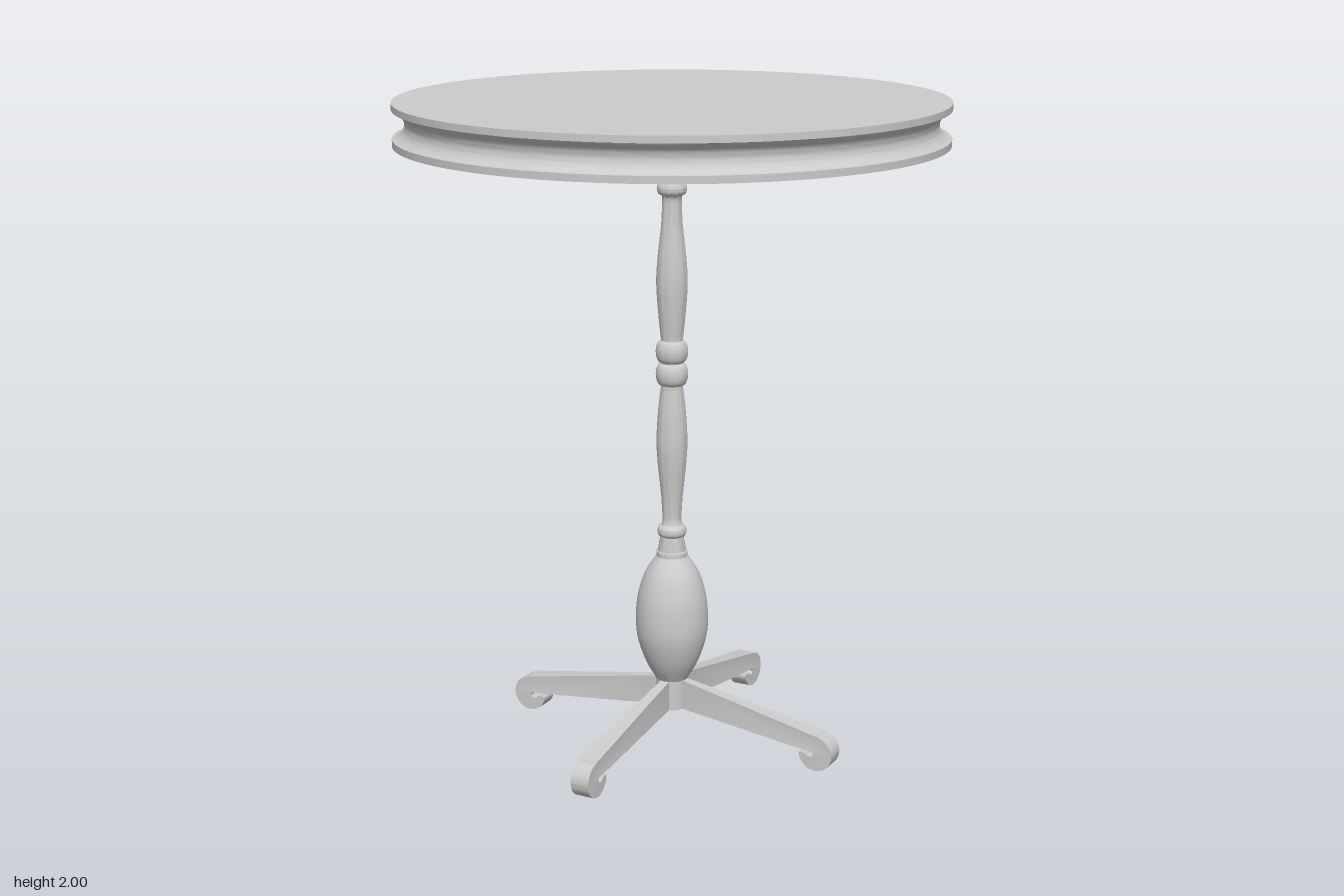
import * as THREE from 'three';
import { toCreasedNormals } from 'three/addons/utils/BufferGeometryUtils.js';

const material = new THREE.MeshStandardMaterial({ color: 0xcccccc });

function turned(name, profile, segments) {
  const points = profile.map(([r, y]) => new THREE.Vector2(r, y));
  const geometry = toCreasedNormals(new THREE.LatheGeometry(points, segments), 0.6);
  const mesh = new THREE.Mesh(geometry, material);
  mesh.name = name;
  return mesh;
}

// Smooth run of profile points through a few control points
function smooth(controls, count) {
  const curve = new THREE.SplineCurve(controls.map(([r, y]) => new THREE.Vector2(r, y)));
  return curve.getPoints(count).map((p) => [p.x, p.y]);
}

// Rounded bead profile between two heights
function bead(inner, outer, y0, y1) {
  return Array.from({ length: 11 }, (_, i) => {
    const t = i / 10;
    return [inner + (outer - inner) * Math.sin(Math.PI * t), y0 + (y1 - y0) * (0.5 - 0.5 * Math.cos(Math.PI * t))];
  });
}

// Leg side profile with a scrolled foot, tapering in width toward the hub
function legGeometry() {
  const shape = new THREE.Shape();
  shape.moveTo(0.01, 0.205);
  shape.lineTo(0.04, 0.2);
  shape.lineTo(0.515, 0.111);
  shape.absarc(0.509, 0.055, 0.055, 1.46, -Math.PI + 0.2, true);
  shape.quadraticCurveTo(0.454, 0.053, 0.463, 0.052);
  shape.lineTo(0.478, 0.051);
  shape.quadraticCurveTo(0.481, 0.042, 0.492, 0.042);
  shape.quadraticCurveTo(0.506, 0.044, 0.505, 0.052);
  shape.quadraticCurveTo(0.503, 0.059, 0.492, 0.06);
  shape.lineTo(0.47, 0.061);
  shape.lineTo(0.04, 0.105);
  shape.lineTo(0.01, 0.108);
  const geometry = new THREE.ExtrudeGeometry(shape, { depth: 2, bevelEnabled: false, curveSegments: 14 });
  geometry.translate(0, 0, -1);
  const p = geometry.attributes.position;
  for (let i = 0; i < p.count; i++) {
    const t = THREE.MathUtils.clamp((p.getX(i) - 0.04) / 0.46, 0, 1);
    p.setZ(i, p.getZ(i) * THREE.MathUtils.lerp(0.014, 0.03, t));
  }
  return toCreasedNormals(geometry, 0.6);
}

export function createModel() {
  const group = new THREE.Group();

  // Round top with a hollow moulded edge
  group.add(turned('tableTop', [
    [0, 1.875], [0.815, 1.875], [0.815, 1.896], [0.803, 1.898],
    ...smooth([[0.8, 1.9], [0.784, 1.915], [0.778, 1.936], [0.784, 1.958], [0.8, 1.973]], 14),
    [0.803, 1.978], [0.815, 1.98], [0.815, 2], [0, 2],
  ], 96));

  // Turned column: urn, two swelling shafts and their beads
  group.add(turned('column', [
    [0, 0.2],
    ...smooth([[0.05, 0.2], [0.083, 0.26], [0.107, 0.335], [0.112, 0.4], [0.105, 0.475], [0.083, 0.545], [0.048, 0.6]], 28),
    [0.048, 0.615], [0.044, 0.617], [0.036, 0.66],
    ...bead(0.034, 0.045, 0.662, 0.698),
    [0.031, 0.702],
    ...smooth([[0.029, 0.72], [0.033, 0.79], [0.044, 0.9], [0.047, 0.97], [0.042, 1.06], [0.033, 1.135]], 20),
    ...bead(0.033, 0.049, 1.14, 1.208),
    ...bead(0.033, 0.049, 1.21, 1.278),
    ...smooth([[0.033, 1.28], [0.041, 1.36], [0.047, 1.45], [0.043, 1.53], [0.032, 1.63], [0.029, 1.71]], 20),
    [0.031, 1.716],
    ...bead(0.033, 0.045, 1.718, 1.756),
    ...smooth([[0.035, 1.758], [0.038, 1.775], [0.044, 1.805]], 5),
    [0.047, 1.808], [0.048, 1.815], [0.048, 1.88],
  ], 40));

  // Hub joining the legs
  group.add(turned('hub', [[0, 0.105], [0.048, 0.105], [0.048, 0.203], [0, 0.203]], 32));

  // Four scroll-footed legs
  const geometry = legGeometry();
  ['left', 'back', 'right', 'front'].forEach((side, i) => {
    const leg = new THREE.Mesh(geometry, material);
    leg.name = side + 'Leg';
    leg.rotation.y = (i * Math.PI) / 2;
    group.add(leg);
  });

  return group;
}
